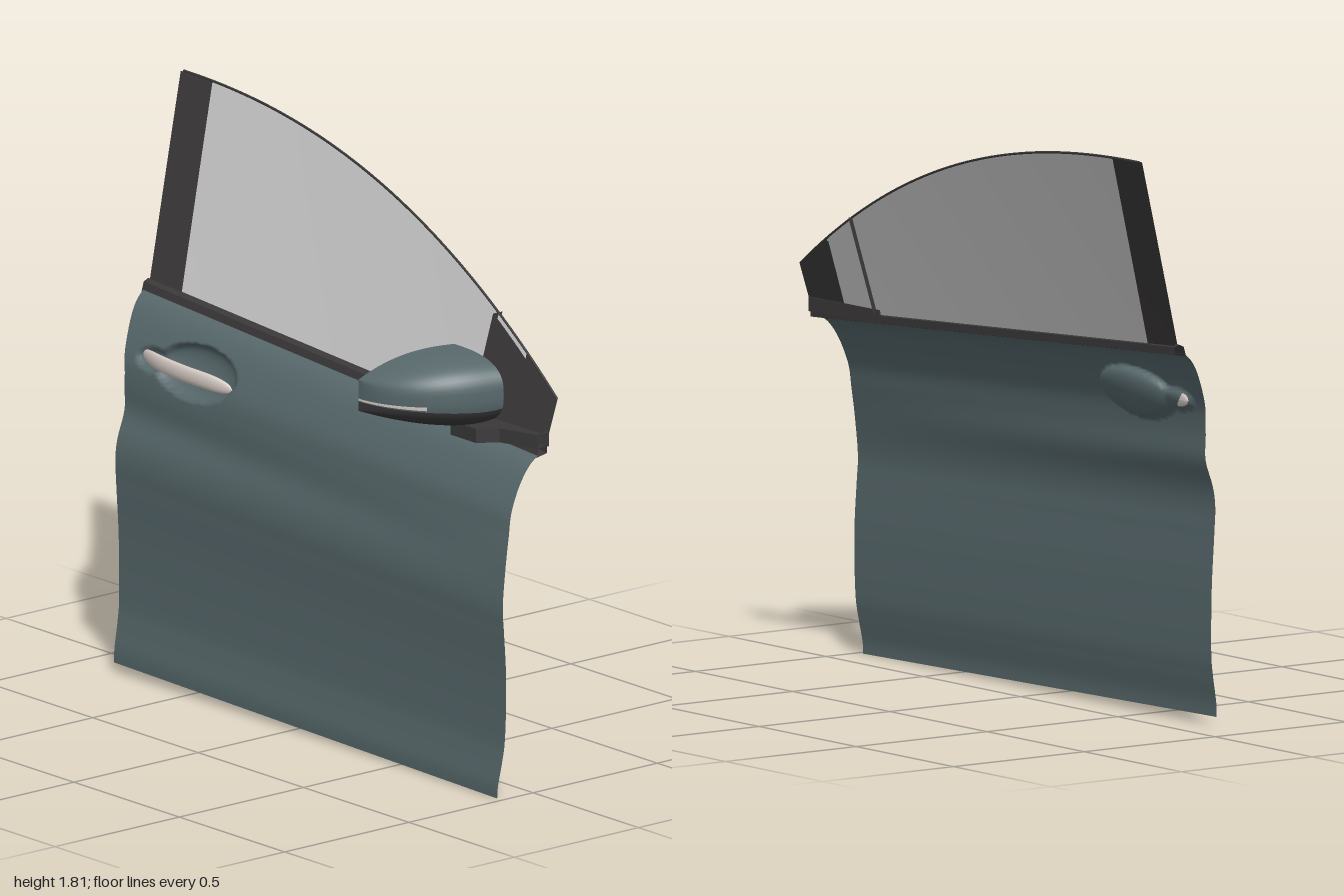
import * as THREE from 'three';
import { ParametricGeometry } from 'three/addons/geometries/ParametricGeometry.js';

const lerp = THREE.MathUtils.lerp;
const material = (color) => new THREE.MeshStandardMaterial({ color, side: THREE.DoubleSide });
const paint = material(0x56676a);
const trim = material(0x3a3838);
const grey = material(0xcccccc);
const metal = material(0xd8ccc6);

// Smooth sheet from a rule (u, v) -> [x, y, z]
function sheet(name, mat, rule, nu, nv) {
  const geo = new ParametricGeometry((u, v, p) => p.set(...rule(u, v)), nu, nv);
  geo.computeVertexNormals();
  const mesh = new THREE.Mesh(geo, mat);
  mesh.name = name;
  return mesh;
}

// Lines of the window: belt, roof arc and the inward lean
const beltY = (z) => 1.148 - 0.061 * z;
const roofY = (z) => 1.81 - 0.135 * Math.pow(Math.max(z + 1, 0), 2.12);
const windowX = (z, y) => 0.07 + (y - beltY(z)) * (0.332 - 0.032 * z);

// Section of the outer skin: x against share of height
const skinProfile = new THREE.SplineCurve([
  [-0.125, 0], [-0.124, 0.04], [-0.112, 0.11], [-0.105, 0.18], [-0.107, 0.35], [-0.117, 0.5],
  [-0.12, 0.58], [-0.105, 0.69], [-0.087, 0.78], [-0.071, 0.85], [-0.03, 0.93], [0.005, 0.975], [0.04, 1],
].map(([x, y]) => new THREE.Vector2(x, y)));

// Rounded hollow behind the handle
function hollow(z, y, cz, cy, rz, ry, depth) {
  const r = ((z - cz) / rz) ** 2 + ((y - cy) / ry) ** 2;
  return r < 1 ? depth * Math.sqrt(1 - r) : 0;
}

function skinPoint(u, v) {
  const p = skinProfile.getPoint(v);
  const h = p.y;
  const front = 0.977 + 0.023 * Math.sin(Math.PI * Math.min(1, h * 1.1));
  const back = -0.84 - 0.055 * Math.max(0, (h - 0.8) / 0.2);
  const z = lerp(front, back, u);
  const y = lerp(0.03 * u, beltY(z) - 0.022, h);
  // undercut below the shoulder, fading out towards the front
  const undercut = 0.02 * u * Math.exp(-(((h - 0.7) / 0.06) ** 2));
  const dent = Math.max(
    hollow(z, y, -0.53, 1.01, 0.18, 0.08, 0.055),
    hollow(z, y, -0.72, 1.01, 0.08, 0.034, 0.025));
  return [p.x + undercut + dent, y, z];
}

// Window panel between two slanted edges (z at belt, z at roof)
function panel(name, mat, [b0, t0], [b1, t1], offset) {
  return sheet(name, mat, (u, v) => {
    const zb = lerp(b0, b1, u), zt = lerp(t0, t1, u);
    const z = lerp(zb, zt, v), y = lerp(beltY(zb), roofY(zt), v);
    return [windowX(z, y) + offset, y, z];
  }, 40, 10);
}

// Mirror shell: s runs outer tip to inner end, a runs bottom to top around the front
const mirrorX = (s) => lerp(-0.295, 0.005, s);
const mirrorBack = (s) => lerp(0.52, 0.62, s);
const mirrorTop = (s) => 1.27 + 0.08 * (1 - Math.pow(1 - s, 2.5));
const mirrorBottom = (s) => 1.115 + 0.055 * (1 - s) ** 2 + 0.012 * s ** 8;
function mirrorPoint(s, a, grow = 0) {
  const mid = (mirrorTop(s) + mirrorBottom(s)) / 2, half = (mirrorTop(s) - mirrorBottom(s)) / 2;
  const depth = 0.235 * Math.sqrt(Math.max(0, 1 - (1 - s) ** 3)) + grow;
  const sin = Math.sin(a), cos = Math.max(0, Math.cos(a));
  return [mirrorX(s) - grow, mid + half * Math.sign(sin) * Math.pow(Math.abs(sin), 0.7),
    mirrorBack(s) + depth * Math.pow(cos, 0.7)];
}
function shell(name, mat, a0, a1, s1 = 1, grow = 0) {
  return sheet(name, mat, (u, v) => mirrorPoint(s1 * u * u, lerp(a0, a1, v), grow), 28, 16);
}
function mirrorPlate(name, mat, s0, s1, margin, shift) {
  return sheet(name, mat, (u, v) => {
    const s = lerp(s0, s1, u);
    return [mirrorX(s), lerp(mirrorBottom(s) + margin, mirrorTop(s) - margin, v), mirrorBack(s) + shift];
  }, 20, 4);
}

function buildMirror() {
  const mirror = new THREE.Group();
  mirror.name = 'wingMirror';
  const h = Math.PI / 2;
  mirror.add(
    shell('mirrorCap', paint, -0.27, h),
    shell('mirrorLowerShell', trim, -h, -0.27),
    shell('turnIndicator', metal, -0.2, -0.09, 0.3, 0.003),
    mirrorPlate('mirrorFrame', trim, 0, 1, 0, 0),
    mirrorPlate('mirrorGlass', metal, 0.06, 0.93, 0.015, -0.004));
  // flat inner end of the housing
  mirror.add(sheet('mirrorInnerEnd', paint, (u, v) => {
    const [x, y, z] = mirrorPoint(1, lerp(-h, h, u));
    return [x, lerp(1.235, y, v), lerp(mirrorBack(1), z, v)];
  }, 24, 1));
  // foot joining the housing to the door
  const foot = new THREE.Shape([
    [0.09, 0.97], [0.04, 0.97], [0, 0.84], [-0.06, 0.8], [-0.06, 0.68], [0, 0.64], [0.08, 0.62],
  ].map(([x, z]) => new THREE.Vector2(x, z)));
  const footGeo = new THREE.ExtrudeGeometry(foot, { depth: 0.045, bevelEnabled: false });
  footGeo.rotateX(Math.PI / 2).translate(0, 1.13, 0);
  const footMesh = new THREE.Mesh(footGeo, trim);
  footMesh.name = 'mirrorFoot';
  mirror.add(footMesh);
  return mirror;
}

export function createModel() {
  const door = new THREE.Group();
  door.name = 'carDoor';

  door.add(sheet('doorSkin', paint, skinPoint, 170, 110));

  // Window, pillars and the divider
  door.add(
    panel('windowGlass', grey, [0.8, 0.8], [-0.75, -0.86], 0),
    panel('rearPillar', trim, [-0.75, -0.86], [-0.89, -1], 0),
    panel('rearPillarOuter', trim, [-0.75, -0.86], [-0.89, -1], -0.01),
    panel('innerSail', trim, [0.975, 0.98], [0.8, 0.8], 0.002),
    panel('outerSail', trim, [0.975, 0.98], [0.64, 0.64], -0.022));
  door.add(sheet('windowDivider', trim, (u, v) => {
    const y = lerp(beltY(0.64), roofY(0.64), v);
    return [windowX(0.64, y) + lerp(-0.024, 0.014, u), y, 0.64];
  }, 1, 8));

  // Thin seal along the roof arc
  const arc = [];
  for (let i = 0; i <= 24; i++) {
    const z = lerp(0.98, -0.995, i / 24), y = roofY(z);
    arc.push(new THREE.Vector3(windowX(z, y) - 0.002, y, z));
  }
  const seal = new THREE.Mesh(new THREE.TubeGeometry(new THREE.CatmullRomCurve3(arc), 60, 0.004, 6), trim);
  seal.name = 'roofSeal';
  door.add(seal);

  // Belt moulding: closed section carried along the belt
  const section = [[0.036, -0.03], [0.045, 0], [0.062, 0.008], [0.078, 0.002], [0.078, -0.022], [0.036, -0.03]];
  for (let i = 0; i < section.length - 1; i++) {
    door.add(sheet('beltMoulding', trim, (u, v) => {
      const z = lerp(0.975, -0.9, u);
      return [lerp(section[i][0], section[i + 1][0], v), beltY(z) + lerp(section[i][1], section[i + 1][1], v), z];
    }, 12, 1));
  }

  // Bowed door handle, tapered at both ends
  const bow = new THREE.CatmullRomCurve3([
    [-0.04, 1.015, -0.81], [-0.066, 1.01, -0.7], [-0.074, 1.005, -0.57], [-0.066, 1, -0.46], [-0.048, 0.99, -0.37],
  ].map((p) => new THREE.Vector3(...p)));
  door.add(sheet('doorHandle', metal, (u, v) => {
    const c = bow.getPoint(u), a = v * Math.PI * 2;
    const r = Math.sqrt(Math.max(0, 1 - (2 * u - 1) ** 4));
    return [c.x + 0.012 * r * Math.cos(a), c.y + 0.027 * r * Math.sin(a), c.z];
  }, 32, 16));

  door.add(buildMirror());
  return door;
}
